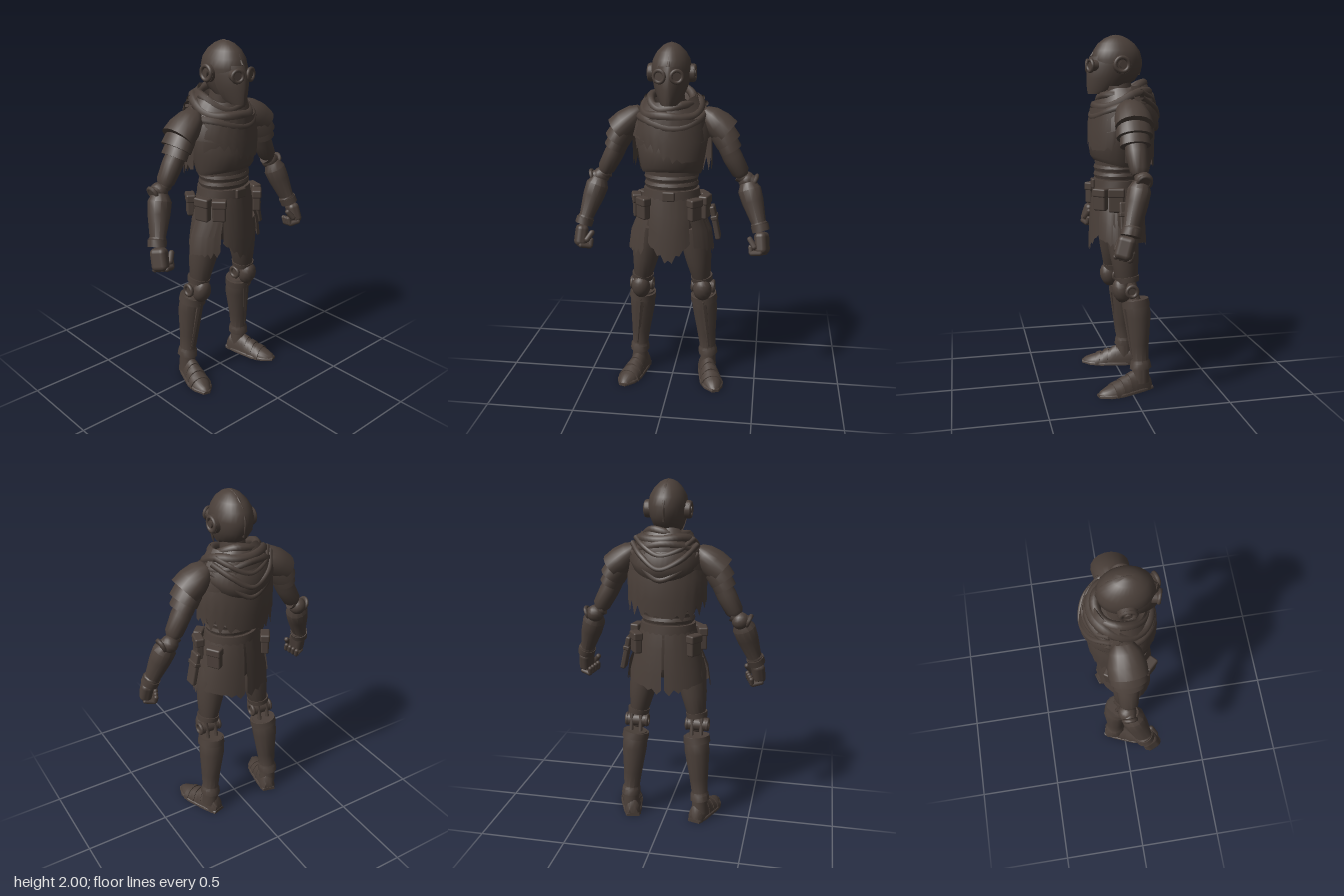
import * as THREE from 'three';
import { toCreasedNormals } from 'three/addons/utils/BufferGeometryUtils.js';
import { RoundedBoxGeometry } from 'three/addons/geometries/RoundedBoxGeometry.js';

const V = (x, y, z) => new THREE.Vector3(x, y, z);
const PI = Math.PI;

// Skin through elliptical rings [y, rx, rz, cx, cz], bottom to top; angle 0 faces +z.
// Partial angles give open cloth; drop(u, t, a, i) shifts points in y.
function loft(rings, { n = 18, e = 2, a0 = 0, a1 = 2 * PI, drop, cap = true, crease = 0.6 } = {}) {
  const pos = [], idx = [], m = rings.length;
  const pw = v => Math.sign(v) * Math.abs(v) ** (2 / e);
  rings.forEach(([y, rx, rz, cx = 0, cz = 0], j) => {
    for (let i = 0; i <= n; i++) {
      const u = i / n, a = a0 + (a1 - a0) * u;
      const dy = drop ? drop(u, j / (m - 1), a, i) : 0;
      pos.push(cx + rx * pw(Math.sin(a)), y + dy, cz + rz * pw(Math.cos(a)));
    }
  });
  const w = n + 1;
  for (let j = 0; j < m - 1; j++) for (let i = 0; i < n; i++) {
    const p = j * w + i;
    idx.push(p, p + 1, p + w + 1, p, p + w + 1, p + w);
  }
  if (cap && a1 - a0 > 6.28) for (const j of [0, m - 1]) {
    const [y, , , cx = 0, cz = 0] = rings[j], c = pos.length / 3;
    pos.push(cx, y + (drop ? drop(0.25, j ? 1 : 0, PI / 2, 0) : 0), cz);
    for (let i = 0; i < n; i++) {
      const p = j * w + i;
      j ? idx.push(c, p, p + 1) : idx.push(c, p + 1, p);
    }
  }
  const g = new THREE.BufferGeometry();
  g.setAttribute('position', new THREE.Float32BufferAttribute(pos, 3));
  g.setIndex(idx);
  return toCreasedNormals(g, crease);
}

// Loft laid along a segment from lower point a to upper point b; ring heights run 0..1
function limb(a, b, rings, opt) {
  const d = b.clone().sub(a), len = d.length();
  const g = loft(rings.map(([t, ...r]) => [t * len, ...r]), opt);
  g.applyQuaternion(new THREE.Quaternion().setFromUnitVectors(V(0, 1, 0), d.normalize()));
  return g.translate(a.x, a.y, a.z);
}

const tube = (pts, r, closed = false, seg = 36) =>
  new THREE.TubeGeometry(new THREE.CatmullRomCurve3(pts, closed), seg, r, 8, closed);

// Torn hem: uneven teeth that fade towards the top edge
const torn = (depth, seed, shape = () => 0) => (u, t, a, i) =>
  (1 - t) * (shape(u) - depth * (i % 2) * (0.5 + 0.5 * Math.sin(i * 2.7 + seed)));

export function createModel() {
  const model = new THREE.Group();
  model.name = 'armouredWanderer';
  const mat = new THREE.MeshStandardMaterial({ color: 0x4a3f39, side: THREE.DoubleSide });
  mat.name = 'darkBrown';
  const add = (parent, name, geo, p, r) => {
    const mesh = new THREE.Mesh(geo, mat);
    mesh.name = name;
    if (p) mesh.position.set(...p);
    if (r) mesh.rotation.set(...r);
    parent.add(mesh);
    return mesh;
  };
  const disc = (r, h, n = 18) => new THREE.CylinderGeometry(r, r, h, n).rotateZ(PI / 2);

  // Helmet
  const head = new THREE.Group();
  head.name = 'head';
  model.add(head);
  add(head, 'helmet', loft([
    [1.72, 0.07, 0.08, 0, 0.06], [1.75, 0.085, 0.115, 0, 0.045], [1.8, 0.102, 0.138, 0, 0.032],
    [1.86, 0.11, 0.144, 0, 0.032], [1.91, 0.1, 0.132, 0, 0.032], [1.95, 0.077, 0.104, 0, 0.034],
    [1.98, 0.047, 0.064, 0, 0.035], [1.993, 0.022, 0.032, 0, 0.035], [1.997, 0, 0, 0, 0.035],
  ], { n: 28, crease: 1 }));
  add(head, 'faceGuard', loft([
    [1.675, 0.045, 0.06, 0, 0.135], [1.7, 0.066, 0.105, 0, 0.095], [1.76, 0.09, 0.13, 0, 0.073],
    [1.83, 0.105, 0.145, 0, 0.055], [1.88, 0.1, 0.135, 0, 0.05],
  ], { a0: -PI / 2, a1: PI / 2, e: 1.65, n: 16 }));
  add(head, 'crest', tube([V(0, 1.88, 0.175), V(0, 1.95, 0.125), V(0, 1.992, 0.035),
    V(0, 1.95, -0.06), V(0, 1.86, -0.108), V(0, 1.78, -0.095)], 0.007));
  add(head, 'neck', loft([[1.58, 0.08, 0.08], [1.76, 0.065, 0.065, 0, 0.02]]));

  // Torso
  add(model, 'chestPlate', loft([
    [1.28, 0.165, 0.135, 0, 0.03], [1.31, 0.175, 0.148, 0, 0.035], [1.4, 0.19, 0.16, 0, 0.03],
    [1.5, 0.205, 0.155, 0, 0.02], [1.58, 0.19, 0.135, 0, 0.005], [1.65, 0.12, 0.1, 0, -0.01],
  ], { n: 24, drop: (u, t, a) => (1 - t) * 0.03 * Math.max(0, Math.cos(a)) }));
  add(model, 'abdomen', loft([[1.12, 0.15, 0.125, 0, 0.03], [1.2, 0.142, 0.12, 0, 0.03],
    [1.34, 0.16, 0.13, 0, 0.03]]));
  for (const y of [1.225, 1.265]) add(model, 'abdomenBand', loft([[y - 0.017, 0.149, 0.126, 0, 0.032],
    [y, 0.155, 0.132, 0, 0.032], [y + 0.017, 0.149, 0.126, 0, 0.032]]));
  add(model, 'belt', loft([[1.15, 0.165, 0.14, 0, 0.03], [1.2, 0.158, 0.136, 0, 0.03]], { n: 24 }));
  add(model, 'buckle', new RoundedBoxGeometry(0.07, 0.055, 0.02, 2, 0.008), [0, 1.175, 0.17]);
  add(model, 'hips', loft([[0.88, 0.09, 0.07, 0, 0.02], [0.94, 0.165, 0.11, 0, 0.02],
    [1.16, 0.155, 0.125, 0, 0.03]]));

  // Torn skirt panels
  const skirt = (name, a0, a1, low, flare, seed, shape) => add(model, name, loft([
    [low, flare, 0.165, 0, 0.03], [low + 0.1, flare * 0.94, 0.16, 0, 0.03],
    [1.08, 0.183, 0.15, 0, 0.03], [1.16, 0.163, 0.138, 0, 0.03],
  ], { a0, a1, n: 12, drop: torn(0.035, seed, shape) }));
  skirt('frontSkirt', -0.68, 0.68, 0.9, 0.19, 1, u => -0.09 * (1 - Math.abs(2 * u - 1)));
  skirt('leftSkirt', 0.62, 1.65, 0.88, 0.245, 2, u => -0.03 * u);
  skirt('rightSkirt', -1.65, -0.62, 0.86, 0.25, 3, u => -0.03 * (1 - u));
  skirt('leftBackSkirt', 1.6, PI - 0.04, 0.83, 0.225, 4, u => 0.04 * (1 - u));
  skirt('rightBackSkirt', PI + 0.04, 2 * PI - 1.6, 0.83, 0.225, 5, u => 0.04 * u);

  // Cowl, hood and cape
  add(model, 'cowl', loft([
    [1.5, 0.222, 0.185, 0, 0.005], [1.57, 0.212, 0.185, 0, 0], [1.63, 0.185, 0.17, 0, -0.005],
    [1.69, 0.145, 0.145, 0, 0], [1.715, 0.125, 0.13, 0, 0.005], [1.65, 0.09, 0.1, 0, 0.01],
  ], { n: 28, cap: false, drop: (u, t, a) => -0.035 * Math.cos(a) + 0.008 * Math.sin(a * 5 + t * 3) }));
  const fold = (name, rx, rz, cz, y, tilt, r, ph) => add(model, name, tube(
    Array.from({ length: 14 }, (_, i) => {
      const a = i / 14 * 2 * PI;
      return V(rx * Math.sin(a), y - tilt * Math.cos(a) + 0.012 * Math.sin(3 * a + ph), cz + rz * Math.cos(a));
    }), r, true, 48));
  fold('innerFold', 0.12, 0.125, 0.005, 1.69, 0.04, 0.024, 0);
  fold('middleFold', 0.155, 0.148, 0.005, 1.65, 0.05, 0.027, 2);
  fold('outerFold', 0.18, 0.163, 0.005, 1.61, 0.05, 0.024, 4);
  add(model, 'frontCloth', loft([
    [1.42, 0.2, 0.172, 0, 0.024], [1.5, 0.212, 0.175, 0, 0.02], [1.6, 0.195, 0.165, 0, 0.015],
  ], { a0: -1.25, a1: 1.25, n: 20, drop: torn(0.06, 2, u => 0.05 * Math.sin(u * PI * 2)) }));
  add(model, 'hood', loft([
    [1.44, 0.17, 0.14, 0, -0.01], [1.49, 0.2, 0.185, 0, -0.01], [1.54, 0.21, 0.198, 0, -0.01],
    [1.62, 0.19, 0.175, 0, -0.01], [1.72, 0.14, 0.135, 0, 0],
  ], { a0: PI - 1.45, a1: PI + 1.45, n: 20, crease: 1, drop: (u, t) => 0.1 * (1 - t) * (2 * u - 1) ** 2 }));
  [[0.18, 1.66, 1.54, 0.196], [0.16, 1.69, 1.61, 0.176], [0.18, 1.61, 1.48, 0.19]].forEach(([w, y0, y1, z]) =>
    add(model, 'hoodFold', tube([V(-w, y0, -0.07), V(-w * 0.6, (y0 + y1) / 2 - 0.01, -z * 0.83),
      V(0.01, y1, -z), V(w * 0.6, (y0 + y1) / 2, -z * 0.83), V(w, y0, -0.07)], 0.016)));
  add(model, 'cape', loft([
    [1.31, 0.225, 0.175, 0, 0], [1.39, 0.225, 0.18, 0, 0], [1.48, 0.225, 0.18, 0, 0], [1.58, 0.2, 0.165, 0, 0],
  ], { a0: PI - 1.75, a1: PI + 1.75, n: 26, drop: torn(0.08, 1, u => 0.04 * Math.sin(u * 9)) }));

  // One side's parts, built on the left and mirrored
  function buildSide(g) {
    // Goggle and ear disc
    add(g, 'goggleRim', new THREE.TorusGeometry(0.031, 0.01, 8, 20), [0.047, 1.83, 0.188], [0, 0.3, 0]);
    add(g, 'goggleLens', new THREE.CylinderGeometry(0.028, 0.034, 0.04, 20).rotateX(PI / 2), [0.046, 1.83, 0.17], [0, 0.3, 0]);
    add(g, 'earDisc', disc(0.05, 0.025), [0.108, 1.835, 0.025]);
    add(g, 'earRim', new THREE.TorusGeometry(0.038, 0.011, 8, 20).rotateY(PI / 2), [0.122, 1.835, 0.025]);
    add(g, 'earHub', disc(0.018, 0.03), [0.118, 1.835, 0.025]);

    // Layered shoulder guard
    const guard = [[0, 0.082, 0.104], [0.35, 0.08, 0.1], [0.7, 0.062, 0.082], [0.92, 0.035, 0.05], [1, 0, 0]];
    add(g, 'upperShoulderGuard', limb(V(0.305, 1.51, 0), V(0.165, 1.635, -0.005), guard));
    add(g, 'middleShoulderGuard', limb(V(0.315, 1.455, 0), V(0.22, 1.6, 0),
      guard.map(([t, x, z]) => [t, x * 0.9, z * 0.95])));
    add(g, 'lowerShoulderGuard', limb(V(0.33, 1.41, 0), V(0.25, 1.56, 0),
      guard.map(([t, x, z]) => [t, x * 0.76, z * 0.8])));

    // Arm
    add(g, 'upperArm', limb(V(0.395, 1.265, -0.01), V(0.28, 1.48, 0),
      [[0, 0.035, 0.04], [0.1, 0.05, 0.052], [0.5, 0.056, 0.06], [1, 0.05, 0.055]]));
    add(g, 'elbowJoint', disc(0.036, 0.11), [0.42, 1.245, -0.015], [0, 0, -0.4]);
    add(g, 'elbowRim', new THREE.TorusGeometry(0.032, 0.012, 8, 18).rotateY(PI / 2), [0.465, 1.235, -0.015], [0, 0, -0.4]);
    add(g, 'elbowGuard', new THREE.SphereGeometry(0.05, 14, 10), [0.42, 1.235, -0.022]);
    add(g, 'forearm', limb(V(0.508, 0.975, 0.065), V(0.425, 1.225, -0.005),
      [[0, 0.043, 0.045], [0.12, 0.048, 0.05], [0.15, 0.042, 0.048], [0.6, 0.062, 0.062],
        [0.85, 0.066, 0.064], [1, 0.045, 0.045]], { n: 12 }));
    add(g, 'wristCuff', limb(V(0.512, 0.965, 0.068), V(0.501, 1, 0.058), [[0, 0.05, 0.053], [1, 0.051, 0.053]]));
    const hand = new THREE.Group();
    hand.name = 'hand';
    hand.position.set(0.51, 0.905, 0.095);
    hand.rotation.set(-0.25, -0.4, 0.1);
    g.add(hand);
    add(hand, 'palm', new RoundedBoxGeometry(0.07, 0.125, 0.095, 3, 0.028), [0.01, 0, 0]);
    for (let i = 0; i < 4; i++) {
      add(hand, 'finger', new THREE.CapsuleGeometry(0.015, 0.05, 4, 8).rotateZ(PI / 2), [-0.015, -0.055, 0.036 - i * 0.025]);
      add(hand, 'fingertip', new THREE.CapsuleGeometry(0.014, 0.03, 4, 8), [-0.045, -0.035, 0.036 - i * 0.025]);
    }
    add(hand, 'thumb', new THREE.CapsuleGeometry(0.016, 0.05, 4, 8), [-0.03, 0.002, 0.045], [0, 0, 0.5]);

    // Leg
    add(g, 'thigh', limb(V(0.176, 0.63, 0.01), V(0.125, 0.98, 0.035),
      [[0, 0.046, 0.055], [0.06, 0.054, 0.064], [0.4, 0.075, 0.08], [0.75, 0.088, 0.092], [1, 0.08, 0.09]]));
    add(g, 'thighCuff', limb(V(0.178, 0.632, 0.008), V(0.174, 0.662, 0.011), [[0, 0.062, 0.066], [1, 0.064, 0.07]]));
    add(g, 'kneeJoint', disc(0.038, 0.12), [0.182, 0.59, -0.005]);
    for (const x of [0.122, 0.242]) add(g, 'kneeRim', new THREE.TorusGeometry(0.03, 0.011, 8, 18).rotateY(PI / 2), [x, 0.59, -0.005]);
    add(g, 'kneeCap', new THREE.SphereGeometry(1, 14, 10).scale(0.055, 0.072, 0.05), [0.182, 0.585, 0.045], [0.25, 0, 0]);
    for (const x of [0.155, 0.21]) add(g, 'kneeStrut', new THREE.CylinderGeometry(0.012, 0.012, 0.15, 8), [x, 0.585, -0.035], [0.25, 0, 0]);
    add(g, 'shinGuard', limb(V(0.212, 0.13, -0.062), V(0.182, 0.535, -0.04),
      [[0, 0.058, 0.064], [0.08, 0.056, 0.058], [0.12, 0.048, 0.05], [0.35, 0.056, 0.058],
        [0.75, 0.074, 0.074, 0, -0.006], [0.93, 0.074, 0.074], [1, 0.066, 0.064]], { n: 12 }));
    add(g, 'shinCollar', limb(V(0.187, 0.49, -0.04), V(0.182, 0.53, -0.035), [[0, 0.079, 0.08], [1, 0.077, 0.077]]));
    add(g, 'shinRidge', limb(V(0.218, 0.19, -0.016), V(0.186, 0.5, 0.03), [[0, 0.01, 0.01], [1, 0.022, 0.012]], { n: 6 }));
    add(g, 'ankle', limb(V(0.212, 0.05, -0.06), V(0.212, 0.16, -0.062), [[0, 0.05, 0.055], [1, 0.042, 0.045]]));

    // Boot: half ellipses along its length, flattened on the ground
    const boot = new THREE.Group();
    boot.name = 'boot';
    boot.position.set(0.205, 0, -0.06);
    boot.rotation.y = 0.28;
    g.add(boot);
    const shoe = (rings, opt) => {
      const s = loft(rings, opt).rotateX(PI / 2), p = s.attributes.position;
      for (let i = 0; i < p.count; i++) p.setY(i, Math.max(0, p.getY(i)));
      s.computeVertexNormals();
      return toCreasedNormals(s, 0.7);
    };
    add(boot, 'shoe', shoe([[-0.065, 0.03, 0.06], [-0.045, 0.047, 0.1], [0.02, 0.05, 0.12], [0.07, 0.056, 0.1],
      [0.14, 0.064, 0.07], [0.2, 0.056, 0.05], [0.245, 0.035, 0.034], [0.262, 0.012, 0.018]], { n: 20 }));
    [[0.05, 0.055, 0.115], [0.1, 0.062, 0.094], [0.15, 0.066, 0.073]].forEach(([z, w, h]) =>
      add(boot, 'instepPlate', shoe([[z, w, h], [z + 0.03, w + 0.002, h - 0.012]], { n: 20 })));
    add(boot, 'sole', shoe([[-0.068, 0.038, 0.02], [0, 0.054, 0.02], [0.14, 0.069, 0.02], [0.21, 0.058, 0.02],
      [0.266, 0.02, 0.016]], { n: 20, e: 5 }));

    // Belt pouches with flaps
    for (const [a, y, w, h] of [[0.8, 1.1, 0.075, 0.12], [1.32, 1.1, 0.085, 0.13], [2.15, 1.09, 0.08, 0.12]]) {
      const pouch = new THREE.Group();
      pouch.name = 'pouch';
      pouch.position.set(0.2 * Math.sin(a), y, 0.03 + 0.175 * Math.cos(a));
      pouch.rotation.y = a;
      g.add(pouch);
      add(pouch, 'pouchBody', new RoundedBoxGeometry(w, h, 0.045, 2, 0.01));
      add(pouch, 'pouchFlap', new RoundedBoxGeometry(w + 0.008, h * 0.4, 0.055, 2, 0.01), [0, h * 0.33, 0]);
    }
  }
  const left = new THREE.Group();
  left.name = 'leftSide';
  buildSide(left);
  const right = left.clone();
  right.name = 'rightSide';
  right.scale.x = -1;
  model.add(left, right);

  // Holster on the left hip
  add(model, 'holster', new RoundedBoxGeometry(0.03, 0.2, 0.075, 2, 0.01), [0.25, 1.0, 0.03], [0, 0, 0.2]);
  add(model, 'holsterStrap', new RoundedBoxGeometry(0.038, 0.025, 0.083, 2, 0.006), [0.245, 1.03, 0.03], [0, 0, 0.2]);
  return model;
}
